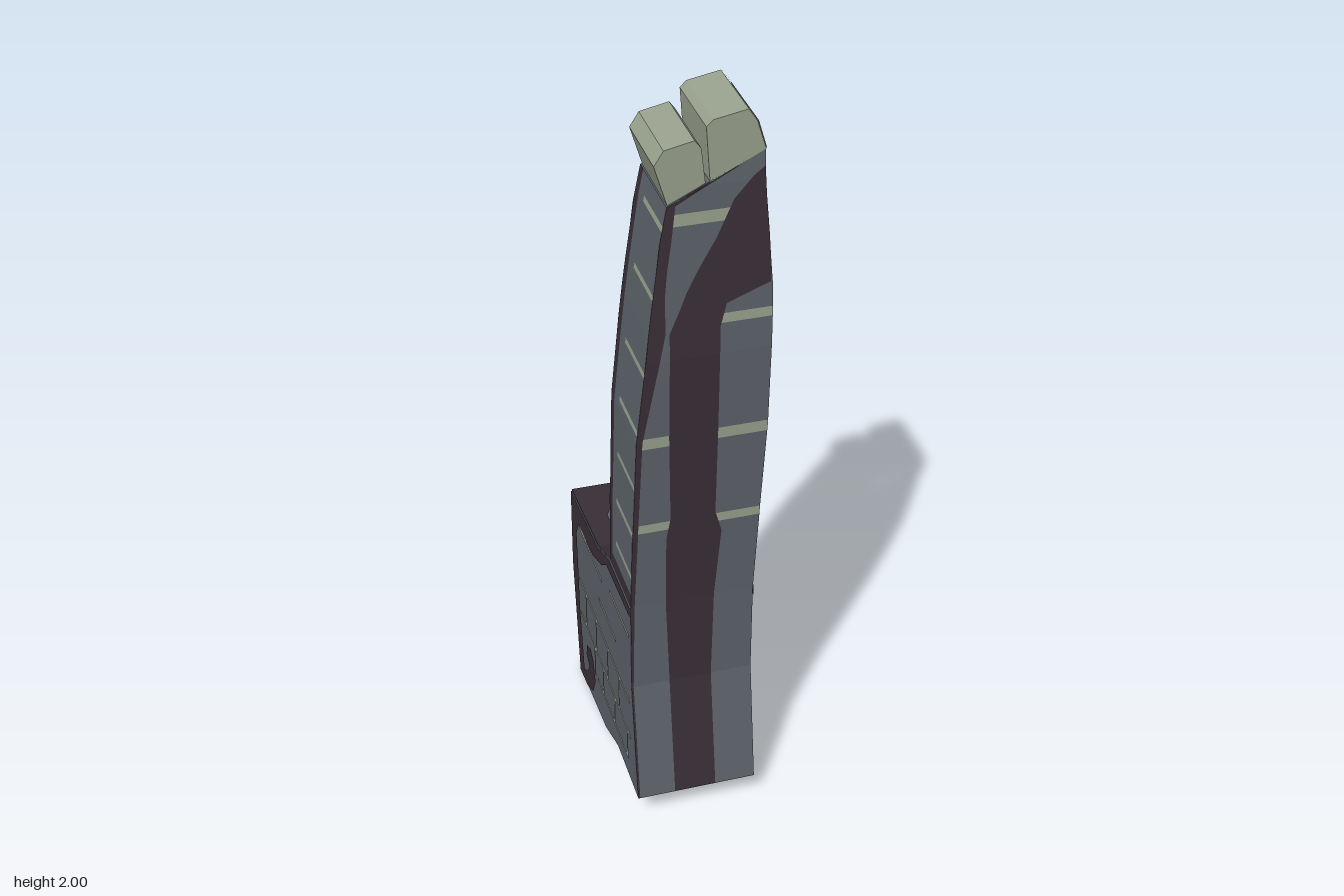
import * as THREE from 'three';

const mat = (name, color) => {
  const m = new THREE.MeshStandardMaterial({ color, side: THREE.DoubleSide });
  m.name = name;
  return m;
};

// piecewise linear lookup in rows of [key, a, b, ...], keys rising
function lookup(rows, k) {
  let i = 0;
  while (i < rows.length - 2 && k > rows[i + 1][0]) i++;
  const a = rows[i], b = rows[i + 1];
  const t = Math.min(1, Math.max(0, (k - a[0]) / (b[0] - a[0])));
  return a.slice(1).map((v, j) => v + (b[j + 1] - v) * t);
}

// gathers flat quads by colour, then makes one mesh per colour
class Quads {
  constructor() { this.sets = new Map(); }
  add(m, a, b, c, d) {
    if (!this.sets.has(m)) this.sets.set(m, []);
    this.sets.get(m).push(...a, ...b, ...c, ...a, ...c, ...d);
  }
  build(name) {
    const g = new THREE.Group();
    g.name = name;
    for (const [m, p] of this.sets) {
      const geo = new THREE.BufferGeometry();
      geo.setAttribute('position', new THREE.Float32BufferAttribute(p, 3));
      geo.computeVertexNormals();
      const mesh = new THREE.Mesh(geo, m);
      mesh.name = name + ' ' + m.name;
      g.add(mesh);
    }
    return g;
  }
}

const shapeOf = pts => new THREE.Shape(pts.map(p => new THREE.Vector2(...p)));

// wall outline and paint borders: y, left edge, purple end, purple start, purple end, right edge
const WALL = [
  [0.08, -0.17, -0.165, -0.07, 0.04, 0.147],
  [0.42, -0.17, -0.165, -0.07, 0.04, 0.147],
  [0.68, -0.17, -0.16, -0.08, 0.045, 0.147],
  [0.88, -0.166, -0.152, -0.08, 0.06, 0.155],
  [0.94, -0.163, -0.15, -0.07, 0.043, 0.157],
  [1.18, -0.155, -0.14, -0.075, 0.045, 0.168],
  [1.47, -0.125, -0.085, -0.075, 0.045, 0.17],
  [1.53, -0.118, -0.085, -0.05, 0.06, 0.17],
  [1.57, -0.113, -0.085, -0.035, 0.165, 0.168],
  [1.63, -0.105, -0.08, -0.005, 0.163, 0.163],
  [1.7, -0.097, -0.07, 0.035, 0.158, 0.158],
  [1.79, -0.08, -0.06, 0.075, 0.15, 0.15],
  [1.84, 0.03, 0.03, 0.12, 0.147, 0.147],
  [1.86, 0.07, 0.07, 0.147, 0.147, 0.147],
  [1.9, 0.147, 0.147, 0.147, 0.147, 0.147],
];
const FRONT_Z = [[0.08, 0.338], [0.42, 0.283], [0.68, 0.282], [1, 0.29], [1.4, 0.298], [1.83, 0.285], [1.9, 0.28]];
const BACK_Z = [[0.68, 0.08], [1, 0.07], [1.4, 0.06], [1.83, 0.073], [1.9, 0.08]];

export function createModel() {
  const grey = mat('stone grey', 0x5d636a);
  const purple = mat('dark purple', 0x3a2f38);
  const light = mat('pale stone', 0x99a28e);
  const root = new THREE.Group();
  root.name = 'ruined tower';
  const add = (geo, m, name) => {
    const mesh = new THREE.Mesh(geo, m);
    mesh.name = name;
    root.add(mesh);
    return mesh;
  };

  // base block: side profile in (z, y) swept across x
  const profile = [[0.335, 0.08], [0.28, 0.42], [0.28, 0.68], [0.08, 0.68], [-0.04, 0.63], [-0.335, 0.605],
    [-0.335, 0.36], [-0.28, 0], [0, 0.03], [0.13, 0.08]];
  const block = new THREE.ExtrudeGeometry(shapeOf(profile), { depth: 0.317, bevelEnabled: false });
  add(block.rotateY(-Math.PI / 2).translate(0.147, 0, 0), grey, 'base block');

  // front and back tower walls, painted in rows
  const bands = [[0.91, 0.935], [1.16, 1.19], [1.48, 1.505], [1.74, 1.77]];
  const wall = (name, depth, y0) => {
    const q = new Quads();
    const ys = [...new Set([...WALL, ...depth, ...bands.flat().map(v => [v])].map(r => r[0]))]
      .filter(y => y >= y0).sort((a, b) => a - b);
    for (let i = 0; i < ys.length - 1; i++) {
      const [lo, hi] = [ys[i], ys[i + 1]], mid = (lo + hi) / 2;
      const a = lookup(WALL, lo), b = lookup(WALL, hi);
      const za = lookup(depth, lo)[0], zb = lookup(depth, hi)[0];
      const band = bands.findIndex(r => mid > r[0] && mid < r[1]);
      const leftGrey = band >= 0 && band !== 2 ? light : grey;
      const rightGrey = band >= 0 && band < 3 ? light : grey;
      [purple, leftGrey, purple, rightGrey].forEach((m, j) => {
        if (a[j + 1] - a[j] + b[j + 1] - b[j] < 1e-4) return;
        q.add(m, [a[j], lo, za], [a[j + 1], lo, za], [b[j + 1], hi, zb], [b[j], hi, zb]);
      });
    }
    root.add(q.build(name));
  };
  wall('front wall', FRONT_Z, 0.08);
  wall('back wall', BACK_Z, 0.68);

  // right wall joins front and back; the opposite side stays open
  const side = new Quads();
  const courses = [0.77, 0.9, 1.04, 1.2, 1.36, 1.56, 1.73];
  const sy = [0.68, 0.72, 0.94, 1.18, 1.47, 1.63, 1.79, ...courses.flatMap(y => [y, y + 0.014])].sort((a, b) => a - b);
  for (let i = 0; i < sy.length - 1; i++) {
    const at = (y, t) => {
      const f = lookup(FRONT_Z, y)[0], k = lookup(BACK_Z, y)[0];
      return [lookup(WALL, y)[0], y, f + (k - f) * t];
    };
    const m = sy[i] < 0.71 ? purple : courses.includes(sy[i]) ? light : grey;
    [[0, 0.7, m], [0.7, 0.88, m === light ? grey : m], [0.88, 1, purple]].forEach(([t, u, c]) =>
      side.add(c, at(sy[i], t), at(sy[i], u), at(sy[i + 1], u), at(sy[i + 1], t)));
  }
  root.add(side.build('right wall'));

  // sloping roof under the two cap stones
  const roof = new Quads();
  roof.add(grey, [-0.08, 1.79, 0.285], [0.147, 1.9, 0.28], [0.147, 1.9, 0.08], [-0.08, 1.79, 0.073]);
  root.add(roof.build('tower roof'));

  // cap stones
  const cap = (pts, z, depth, name) =>
    add(new THREE.ExtrudeGeometry(shapeOf(pts), { depth, bevelEnabled: false }).translate(0, 0, z), light, name);
  cap([[-0.075, 1.785], [0.01, 1.835], [0, 1.92], [-0.015, 1.94], [-0.085, 1.925], [-0.107, 1.89]], 0.08, 0.2, 'low cap stone');
  cap([[0.02, 1.835], [0.147, 1.9], [0.125, 1.97], [0.105, 2], [0.025, 1.985], [0.01, 1.97]], 0.078, 0.204, 'high cap stone');
  const capSide = new Quads();
  [[[0.149, 1.9], [0.128, 1.97]], [[0.128, 1.97], [0.108, 2]]].forEach(([a, b]) =>
    capSide.add(grey, [...a, 0.282], [...a, 0.078], [...b, 0.078], [...b, 0.282]));
  root.add(capSide.build('cap end'));

  // painted border and mortar lines on both sides of the block
  const border = shapeOf([[0.28, 0.68], [0.08, 0.68], [-0.04, 0.63], [-0.335, 0.605], [-0.335, 0.36], [-0.28, 0.005],
    [-0.2, 0.015], [-0.13, 0.05], [-0.1, 0.11], [-0.12, 0.17], [-0.15, 0.19], [-0.19, 0.17], [-0.2, 0.13],
    [-0.17, 0.11], [-0.19, 0.075], [-0.23, 0.05], [-0.265, 0.25], [-0.28, 0.5], [-0.25, 0.55], [-0.1, 0.56],
    [0, 0.6], [0.05, 0.64], [0.28, 0.65]]);
  const rows = [[0.57, 0.27, 0.08], [0.54, 0, -0.24], [0.45, 0.14, -0.04], [0.35, 0.27, -0.26], [0.235, 0.28, -0.25], [0.14, 0.25, -0.07]];
  const joints = [[0.235, 0.35, [0.17, 0.05, -0.07, -0.18]], [0.14, 0.235, [0.25, 0.12, 0, -0.09]]];
  for (const x of [0.15, -0.173]) {
    add(new THREE.ShapeGeometry(border).rotateY(-Math.PI / 2).translate(x, 0, 0), purple, 'side border');
    const mortar = new Quads();
    const line = (y0, y1, z0, z1) => mortar.add(light, [x, y0, z0], [x, y0, z1], [x, y1, z1], [x, y1, z0]);
    rows.forEach(([y, a, b]) => line(y, y + 0.014, a, b));
    joints.forEach(([y0, y1, zs]) => zs.forEach(z => line(y0, y1, z, z - 0.012)));
    root.add(mortar.build('mortar lines'));
  }

  // purple stain on the block's top
  const topEdge = [[-0.335, -0.013], [-0.3, -0.03], [-0.25, -0.07], [-0.18, -0.11], [-0.1, -0.11], [-0.055, -0.085],
    [-0.04, -0.05], [-0.03, -0.04], [0, -0.013], [0.078, -0.013]];
  const topY = [[-0.335, 0.608], [-0.04, 0.633], [0.08, 0.683]];
  const stain = new Quads();
  for (let i = 0; i < topEdge.length - 1; i++) {
    const [[za, xa], [zb, xb]] = [topEdge[i], topEdge[i + 1]];
    const ya = lookup(topY, za)[0], yb = lookup(topY, zb)[0];
    stain.add(purple, [-0.17, ya, za], [-0.17, yb, zb], [xb, yb, zb], [xa, ya, za]);
  }
  root.add(stain.build('top stain'));

  // back face: edge stripe, two scrolls and a few mortar lines
  const backZ = [[0, -0.283], [0.36, -0.338], [0.605, -0.338]];
  const onBack = (x, y, off = 0) => [x, y, lookup(backZ, y)[0] - off];
  const back = new Quads();
  const rect = (m, x0, x1, y0, y1, off) =>
    back.add(m, onBack(x0, y0, off), onBack(x0, y1, off), onBack(x1, y1, off), onBack(x1, y0, off));
  rect(purple, -0.17, -0.11, 0.005, 0.36, 0);
  rect(purple, -0.17, -0.11, 0.36, 0.6, 0);
  [[0.147, 0.05, 0.4], [0.12, -0.02, 0.335], [0.03, -0.1, 0.3], [0.147, 0.07, 0.22]].forEach(([a, b, y]) => rect(light, b, a, y, y + 0.02, 0));
  const scroll = (pts, w) => {
    const p = new THREE.CatmullRomCurve3(pts.map(([x, y]) => new THREE.Vector3(x, y, 0)));
    const ends = [...Array(25).keys()].map(i => {
      const c = p.getPoint(i / 24), t = p.getTangent(i / 24);
      return [1, -1].map(s => onBack(c.x - s * t.y * w, c.y + s * t.x * w, 0.002));
    });
    for (let i = 0; i < 24; i++) back.add(purple, ends[i][0], ends[i][1], ends[i + 1][1], ends[i + 1][0]);
  };
  scroll([[0.1, 0.5], [0.06, 0.555], [-0.03, 0.555], [-0.08, 0.48], [-0.04, 0.4], [0.02, 0.41], [0.04, 0.47], [0, 0.49]], 0.022);
  scroll([[0.06, 0.27], [0, 0.29], [0.03, 0.24], [0.06, 0.16], [0.03, 0.07], [-0.04, 0.05], [-0.08, 0.11], [-0.04, 0.16]], 0.024);
  root.add(back.build('back face paint'));

  return root;
}
